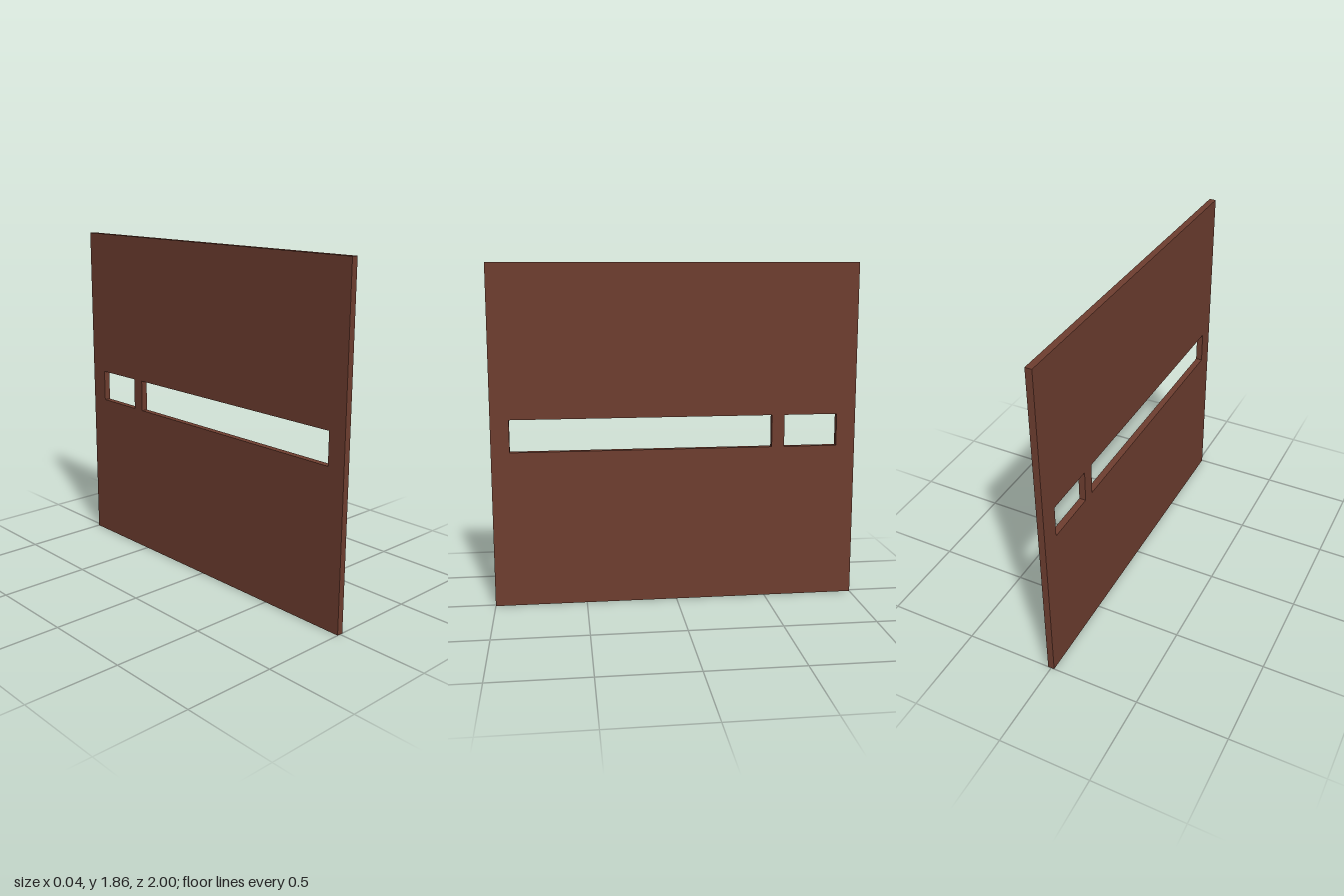
import * as THREE from 'three';

const HEIGHT = 1.86;
const THICKNESS = 0.036;

// Adds a rectangle outline to a shape or path
function rect(path, x0, y0, x1, y1) {
  path.moveTo(x0, y0);
  path.lineTo(x1, y0);
  path.lineTo(x1, y1);
  path.lineTo(x0, y1);
  path.closePath();
  return path;
}

export function createModel() {
  const group = new THREE.Group();
  group.name = 'slottedPanel';

  // Panel outline, drawn with shape x running along z
  const outline = rect(new THREE.Shape(), -1, 0, 1, HEIGHT);

  // Short and long slot through the panel
  for (const [z0, z1] of [[-0.895, -0.6], [-0.53, 0.9]]) {
    outline.holes.push(rect(new THREE.Path(), z0, 0.855, z1, 1.032));
  }

  const geometry = new THREE.ExtrudeGeometry(outline, { depth: THICKNESS, bevelEnabled: false });
  geometry.translate(0, 0, -THICKNESS / 2);
  geometry.rotateY(-Math.PI / 2);

  const panel = new THREE.Mesh(geometry, new THREE.MeshStandardMaterial({ color: 0x6f3e30 }));
  panel.name = 'panel';
  group.add(panel);
  return group;
}
